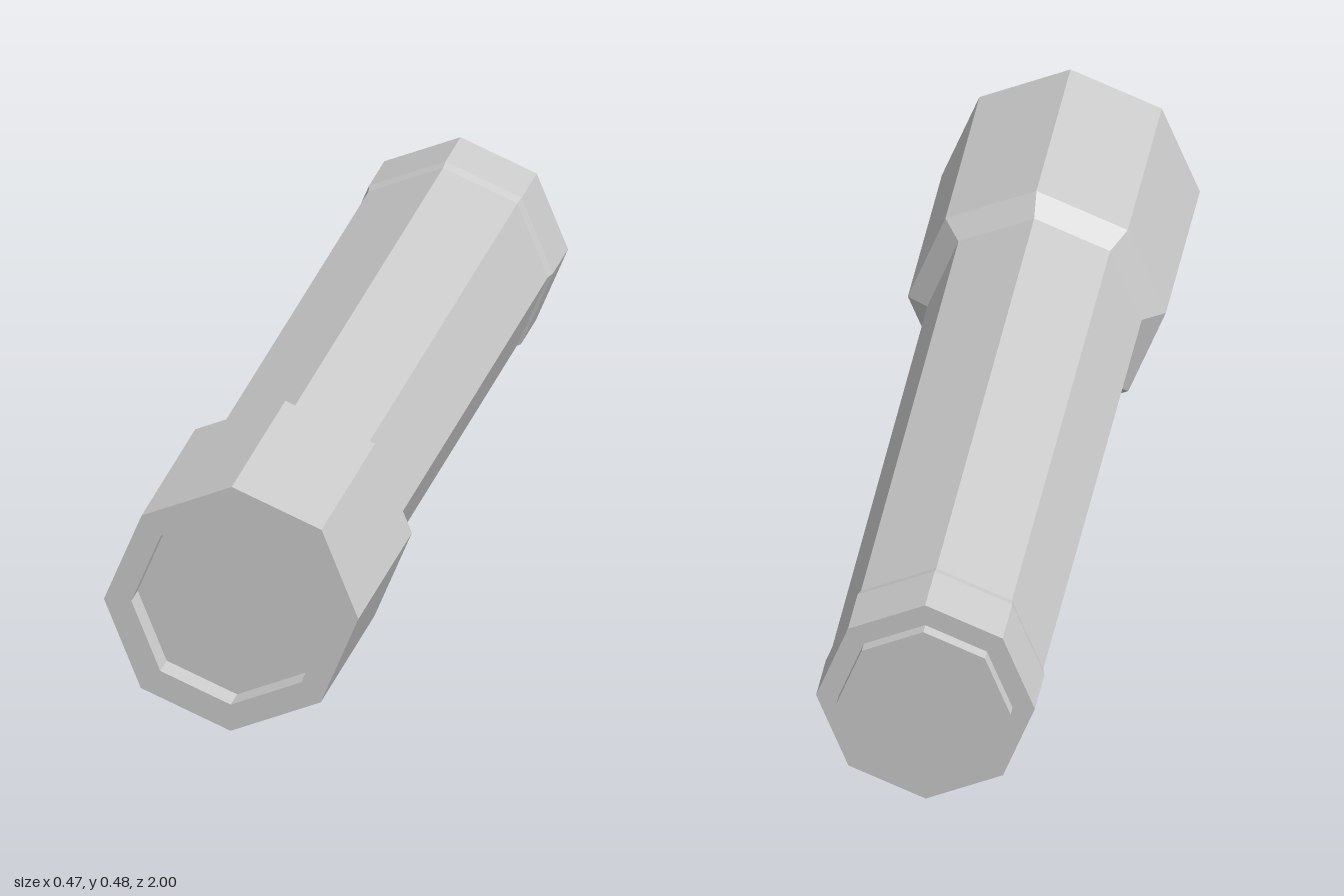
import * as THREE from 'three';

const SIDES = 8;
const material = new THREE.MeshStandardMaterial({ color: 0xcccccc, flatShading: true });

// Octagonal turned part; profile is [radius, position along the axis], back to front
function turned(name, profile) {
  const points = profile.map(([r, s]) => new THREE.Vector2(r, s));
  const geometry = new THREE.LatheGeometry(points, SIDES).toNonIndexed();
  geometry.computeVertexNormals();
  const mesh = new THREE.Mesh(geometry, material);
  mesh.name = name;
  return mesh;
}

export function createModel() {
  const torch = new THREE.Group();
  torch.name = 'flashlight';

  // Wide head with a tapered collar and a rim around the recess
  torch.add(turned('head', [
    [0.197, 0.503], [0.237, 0.535], [0.237, 0.995], [0.186, 0.995], [0.186, 0.94],
  ]));

  // Flat lens at the bottom of the recess
  torch.add(turned('lens', [[0.186, 0.94], [0, 0.94]]));

  // Long grip
  torch.add(turned('barrel', [[0.196, -0.82], [0.197, 0.503]]));

  // Slightly wider tail cap with a bevelled seam
  torch.add(turned('tailCap', [[0, -0.97], [0.201, -0.97], [0.201, -0.84], [0.196, -0.82]]));

  // Raised button on the end
  torch.add(turned('tailButton', [[0, -0.997], [0.16, -0.997], [0.16, -0.97]]));

  // Lay it down, resting on the head and the tail
  torch.rotation.x = Math.PI / 2 - 0.021;
  torch.position.y = 0.2265;

  const model = new THREE.Group();
  model.add(torch);
  return model;
}
